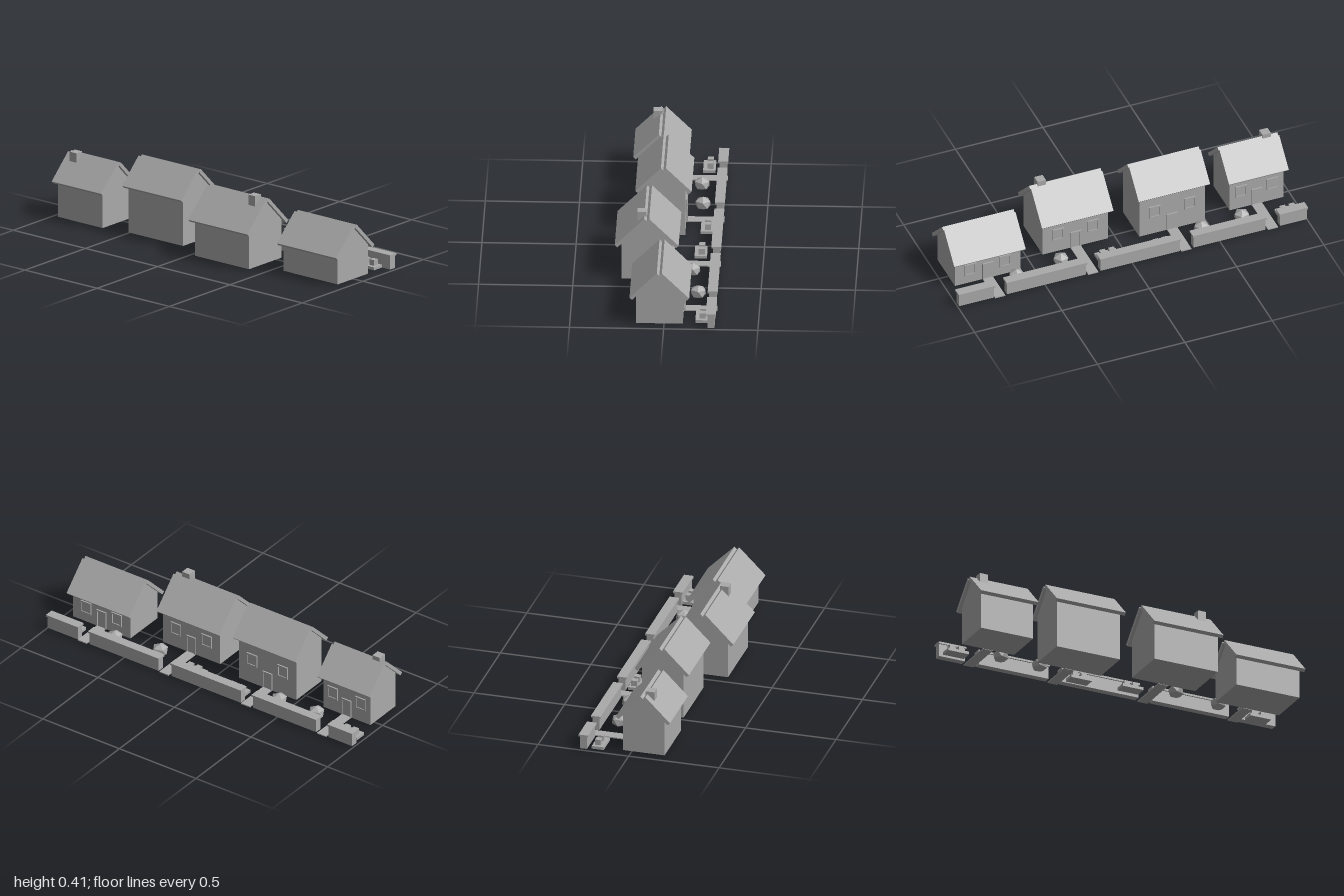
import * as THREE from 'three';

const stone = new THREE.MeshStandardMaterial({ color: 0xaaaaaa });
stone.name = 'stone grey';
const GROUND = 0.008;

function add(parent, name, geometry, x = 0, y = 0, z = 0) {
  const mesh = new THREE.Mesh(geometry, stone);
  mesh.name = name;
  mesh.position.set(x, y, z);
  parent.add(mesh);
  return mesh;
}

// Box given by its lower and upper limits on each axis
function block(parent, name, [x0, x1], [y0, y1], [z0, z1]) {
  return add(parent, name, new THREE.BoxGeometry(x1 - x0, y1 - y0, z1 - z0),
    (x0 + x1) / 2, (y0 + y1) / 2, (z0 + z1) / 2);
}

// Outline in x/y extruded along z, centred on z = 0
function prism(points, depth) {
  const shape = new THREE.Shape(points.map(([x, y]) => new THREE.Vector2(x, y)));
  return new THREE.ExtrudeGeometry(shape, { depth, bevelEnabled: false }).translate(0, 0, -depth / 2);
}

// Rectangular frame with a recessed panel, fixed to a wall facing +x
function framedOpening(parent, name, x, y0, z, width, height) {
  const g = new THREE.Group();
  g.name = name;
  const w = width / 2, bar = 0.008, y1 = y0 + height;
  for (const s of [-1, 1]) {
    const a = s * w, b = s * (w - bar);
    block(g, 'sideFrame', [0, 0.008], [y0, y1], [Math.min(a, b), Math.max(a, b)]);
  }
  block(g, 'topFrame', [0, 0.008], [y1 - bar, y1], [-w + bar, w - bar]);
  if (name === 'window') block(g, 'sill', [0, 0.008], [y0, y0 + bar], [-w + bar, w - bar]);
  block(g, 'panel', [0, 0.003], [y0, y1 - bar], [-w + bar, w - bar]);
  g.position.set(x, 0, z);
  parent.add(g);
}

function makeHouse({ x, z, half, apex, length, windowGap, chimney }) {
  const g = new THREE.Group();
  g.name = 'house';
  const eave = apex - half;
  // walls with gable ends
  add(g, 'walls', prism([[-half, GROUND], [half, GROUND], [half, eave], [0, apex], [-half, eave]], length));
  // two roof slabs at 45 degrees, meeting at their lower corners
  const run = half + 0.021, t = 0.0135;
  for (const s of [1, -1]) {
    const slab = [[0, apex], [run, apex - run], [run + t, apex - run + t], [t, apex + t]];
    add(g, 'roofSlab', prism(slab.map(([px, py]) => [s * px, py]), length + 0.034));
  }
  // door and windows on the street side
  framedOpening(g, 'door', half, GROUND, 0, 0.062, 0.105);
  const wy = GROUND + (eave - GROUND) * 0.54 - 0.036;
  for (const s of [-1, 1]) framedOpening(g, 'window', half, wy, s * windowGap, 0.066, 0.072);
  // chimney
  if (chimney) {
    const [cx, top, cz] = chimney;
    block(g, 'chimney', [cx - x - 0.024, cx - x + 0.024], [eave + 0.03, top], [cz - z - 0.024, cz - z + 0.024]);
  }
  g.position.set(x, 0, z);
  return g;
}

export function createModel() {
  const model = new THREE.Group();
  model.name = 'villageStreet';

  const houses = [
    { x: -0.024, z: 0.763, half: 0.124, apex: 0.297, length: 0.375, windowGap: 0.1 },
    { x: -0.11, z: 0.23, half: 0.135, apex: 0.355, length: 0.375, windowGap: 0.1, chimney: [-0.137, 0.388, 0.366] },
    { x: -0.04, z: -0.303, half: 0.115, apex: 0.394, length: 0.375, windowGap: 0.1 },
    { x: -0.07, z: -0.799, half: 0.115, apex: 0.332, length: 0.308, windowGap: 0.09, chimney: [-0.097, 0.36, -0.905] },
  ];
  for (const h of houses) {
    model.add(makeHouse(h));
    // path from the door to the street
    block(model, 'path', [h.x + h.half, 0.277], [0.006, 0.012], [h.z - 0.029, h.z + 0.029]);
  }

  // garden wall sections with overhanging caps
  for (const [z0, z1] of [[-1, -0.837], [-0.765, -0.342], [-0.273, 0.19], [0.263, 0.726], [0.791, 1]]) {
    block(model, 'gardenWall', [0.232, 0.27], [GROUND, 0.079], [z0 + 0.005, z1 - 0.005]);
    block(model, 'wallCap', [0.224, 0.277], [0.079, 0.09], [z0, z1]);
  }

  // faceted bushes, one vertex pointing up
  const bushGeometry = new THREE.IcosahedronGeometry(1, 0)
    .rotateX(-Math.atan((1 + Math.sqrt(5)) / 2)).scale(0.046, 0.038, 0.046);
  bushGeometry.computeVertexNormals();
  for (const [x, z] of [[0.145, -0.673], [0.158, -0.438], [0.132, 0.357], [0.171, 0.626]]) {
    add(model, 'bush', bushGeometry, x, 0.038, z);
  }

  // low plinths, each with two small blocks
  for (const [x, z] of [[0.199, 0.877], [0.167, 0.106], [0.189, -0.189], [0.176, -0.922]]) {
    block(model, 'plinth', [x - 0.033, x + 0.033], [GROUND, 0.024], [z - 0.061, z + 0.061]);
    for (const s of [-1, 1]) {
      const cz = z + s * 0.026;
      block(model, 'plinthBlock', [x - 0.011, x + 0.021], [0.024, 0.055], [cz - 0.016, cz + 0.016]);
    }
  }
  return model;
}
